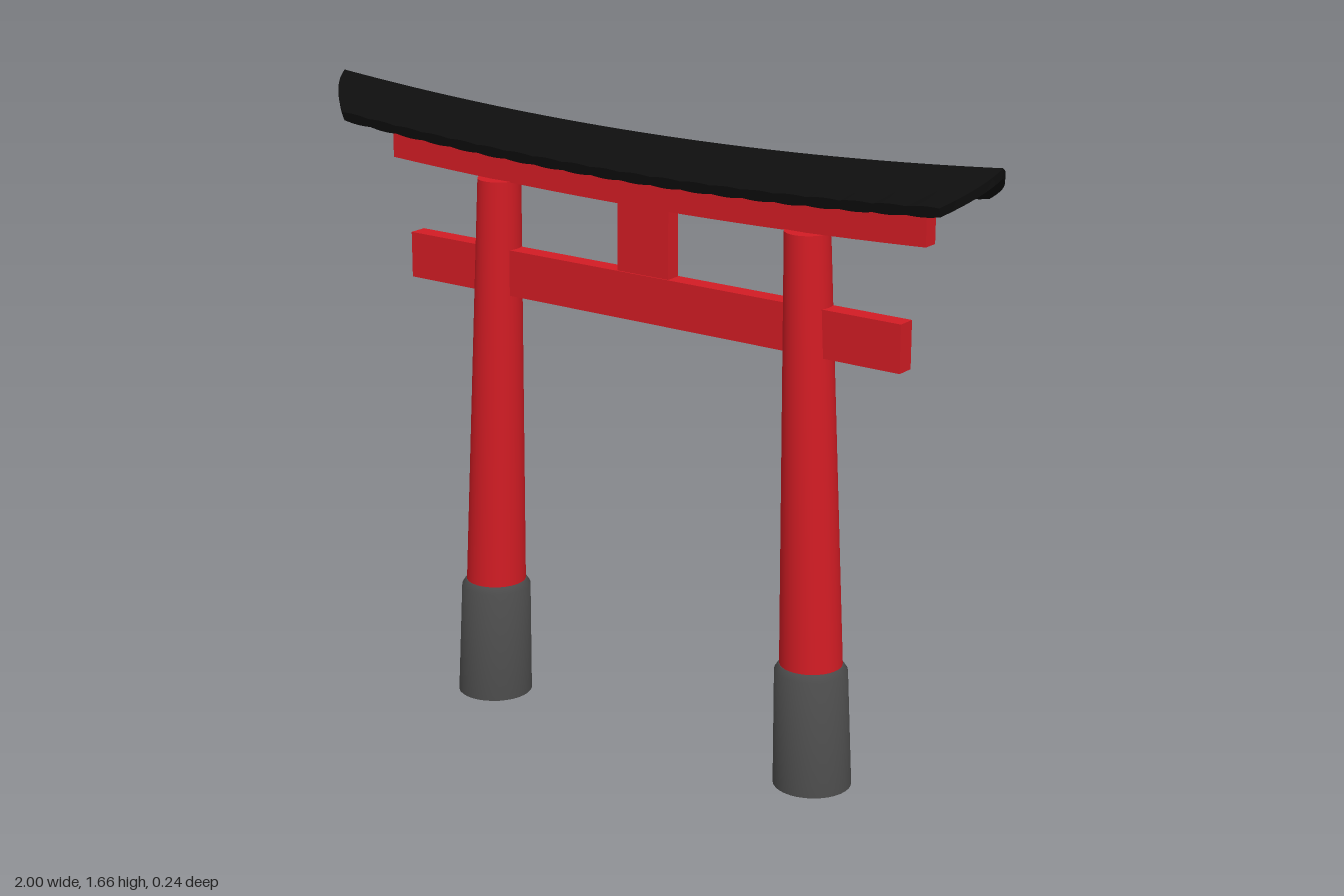
import * as THREE from 'three';
import { toCreasedNormals } from 'three/addons/utils/BufferGeometryUtils.js';

const red = new THREE.MeshStandardMaterial({ color: 0xd21c24 });
const grey = new THREE.MeshStandardMaterial({ color: 0x4c4c4c });
const black = new THREE.MeshStandardMaterial({ color: 0x0e0e0e });

// Upward sweep shared by the roof and the top beam
const sweep = (x, rise) => rise * x * x;

function deform(geometry, rule) {
  const p = geometry.attributes.position;
  const v = new THREE.Vector3();
  for (let i = 0; i < p.count; i++) {
    rule(v.fromBufferAttribute(p, i));
    p.setXYZ(i, v.x, v.y, v.z);
  }
  return toCreasedNormals(geometry, 0.6);
}

function add(parent, name, geometry, material) {
  const mesh = new THREE.Mesh(geometry, material);
  mesh.name = name;
  parent.add(mesh);
  return mesh;
}

// Lathed column that leans inward towards the centre as it rises
function leaningColumn(side, profile) {
  const points = profile.map(([r, y]) => new THREE.Vector2(r, y));
  return deform(new THREE.LatheGeometry(points, 32), (v) => {
    v.x += side * (0.518 - 0.03 * v.y);
  });
}

// Thin gabled roof: swept up at the ends, rounded end outline, lightly ribbed
function roofGeometry() {
  return deform(new THREE.BoxGeometry(2, 1, 2, 160, 1, 16), (v) => {
    const t = Math.abs(v.z);
    const top = v.y > 0;
    const rib = 0.003 * Math.abs(Math.sin(v.x * Math.PI * 10)) * t;
    v.x *= 1 - 0.02 * t - 0.075 * t * t;
    const drop = top ? 0.062 * t + 0.014 * t * t : 0.024 + 0.06 * t + 0.014 * t * t;
    v.y = 1.614 + sweep(v.x, 0.046) - drop + (top ? rib : -rib);
    v.z *= top ? 0.118 : 0.112;
  });
}

export function createModel() {
  const gate = new THREE.Group();
  gate.name = 'gate';

  // Pillars with stone-coloured sleeves
  for (const [name, side] of [['left', 1], ['right', -1]]) {
    add(gate, `${name}Pillar`, leaningColumn(side, [[0, 0.28], [0.081, 0.28], [0.057, 1.437], [0, 1.437]]), red);
    add(gate, `${name}PillarBase`, leaningColumn(side, [[0, 0], [0.1, 0], [0.093, 0.308], [0.082, 0.325], [0, 0.325]]), grey);
  }

  // Lower tie beam passing through both pillars
  add(gate, 'tieBeam', new THREE.BoxGeometry(1.515, 0.122, 0.05), red).position.y = 1.195;

  // Short strut between the beams
  add(gate, 'centreStrut', new THREE.BoxGeometry(0.157, 0.2, 0.042), red).position.y = 1.347;

  // Curved top beam
  const topBeam = new THREE.BoxGeometry(1.632, 0.155, 0.042, 24, 1, 1);
  add(gate, 'topBeam', deform(topBeam, (v) => {
    v.y += 1.507 + sweep(v.x, 0.032);
  }), red);

  add(gate, 'roof', roofGeometry(), black);
  return gate;
}
